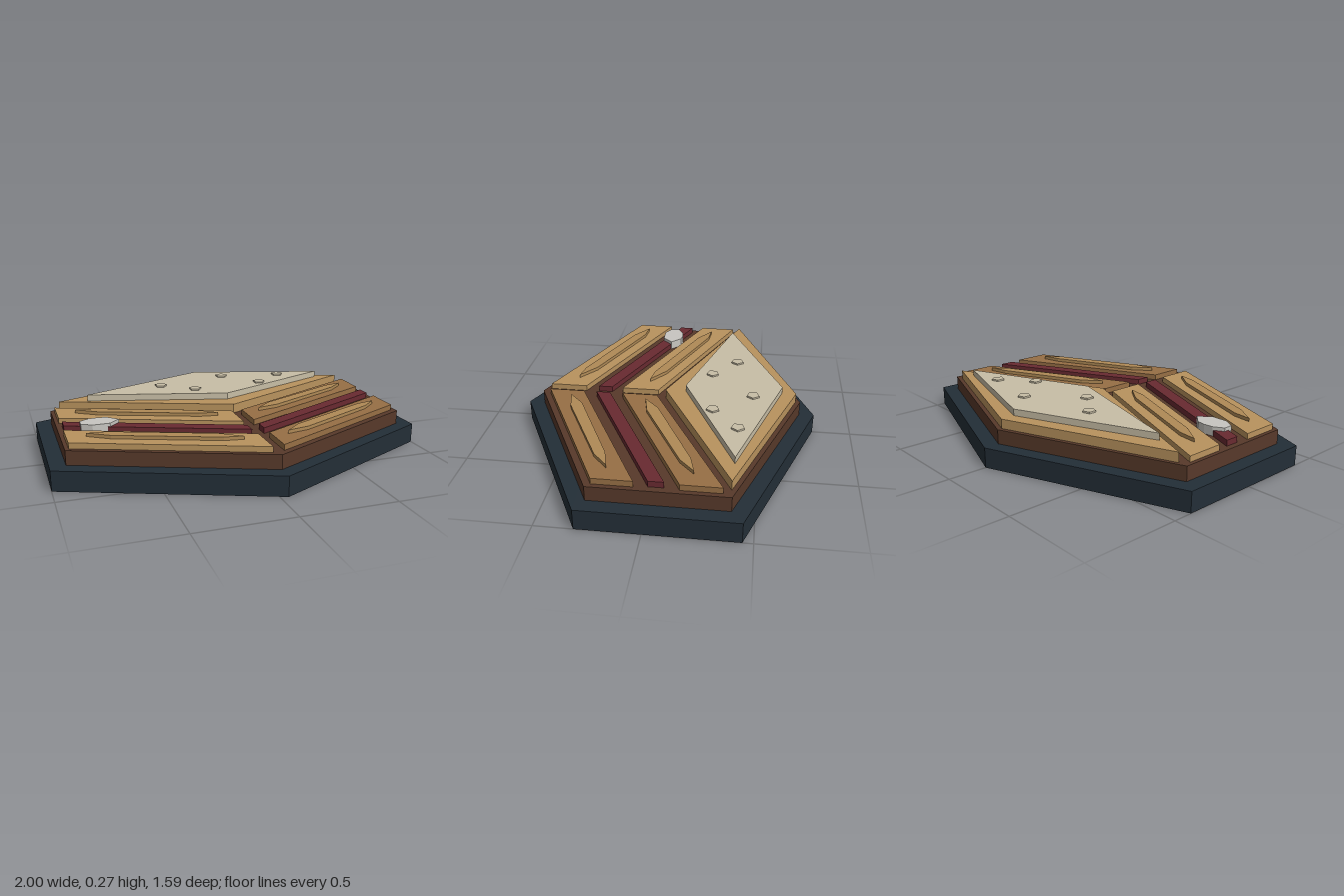
import * as THREE from 'three';

const paint = (name, color) => {
  const m = new THREE.MeshStandardMaterial({ color, side: THREE.DoubleSide });
  m.name = name;
  return m;
};

// Open-bottomed slab: a convex [x, z] outline with walls from y0 to y1 and a flat top
function slabGeometry(outline, y0, y1) {
  const area = THREE.ShapeUtils.area(outline.map(([x, z]) => new THREE.Vector2(x, -z)));
  const pts = area < 0 ? [...outline].reverse() : outline;
  const pos = [];
  const put = ([x, z], y) => pos.push(x, y, z);
  pts.forEach((a, i) => {
    const b = pts[(i + 1) % pts.length];
    put(a, y0); put(b, y0); put(b, y1);
    put(a, y0); put(b, y1); put(a, y1);
    if (i > 0 && i < pts.length - 1) { put(pts[0], y1); put(a, y1); put(b, y1); }
  });
  const g = new THREE.BufferGeometry();
  g.setAttribute('position', new THREE.Float32BufferAttribute(pos, 3));
  g.computeVertexNormals();
  return g;
}

export function createModel() {
  const group = new THREE.Group();
  const navy = paint('navy', 0x232e37);
  const brown = paint('dark brown', 0x57392a);
  const tan = paint('light wood', 0xb9935e);
  const oak = paint('shaded wood', 0x976f45);
  const grainTan = paint('wood grain', 0xb08a56);
  const red = paint('dark red', 0x692a30);
  const cream = paint('cream', 0xc8bea6);
  const silver = paint('pale grey', 0xc8c6c1);

  const slab = (name, material, outline, y0, y1) => {
    const mesh = new THREE.Mesh(slabGeometry(outline, y0, y1), material);
    mesh.name = name;
    group.add(mesh);
  };
  const shift = (outline, dz) => outline.map(([x, z]) => [x, z + dz]);

  // Stacked hexagonal bases
  slab('base', navy,
    [[-1, -0.4], [0, -0.795], [1, -0.45], [1, 0.31], [0.04, 0.79], [-1, 0.37]], 0, 0.105);
  slab('frame', brown,
    [[-0.92, -0.345], [0, -0.715], [0.92, -0.395], [0.92, 0.27], [0.04, 0.705], [-0.92, 0.32]], 0.06, 0.18);

  // Lid with cream inlay
  slab('lid', tan, [[-0.87, -0.345], [0, -0.69], [0.865, -0.39], [0.04, 0.015]], 0.17, 0.23);
  slab('lidInlay', cream, [[-0.715, -0.31], [0, -0.615], [0.725, -0.395], [0.04, -0.095]], 0.22, 0.265);

  // Pentagonal studs on the inlay
  for (const [x, z] of [[-0.28, -0.36], [-0.11, -0.23], [0.125, -0.46], [0.295, -0.26], [0.465, -0.395]]) {
    const stud = [];
    for (let i = 0; i < 5; i++) {
      const a = (i / 5) * Math.PI * 2;
      stud.push([x + 0.035 * Math.cos(a), z + 0.035 * Math.sin(a)]);
    }
    slab('stud', cream, stud, 0.26, 0.274);
  }

  // Upper and lower planks on both faces, each with a raised grain sliver
  const leftPlank = [[-0.9, -0.305], [0.01, 0.06], [0.01, 0.26], [-0.9, -0.105]];
  const rightPlank = [[0.07, 0.06], [0.895, -0.355], [0.895, -0.16], [0.07, 0.25]];
  const leftGrain = [[-0.805, -0.17], [-0.705, -0.16], [-0.195, 0.04],
    [-0.085, 0.12], [-0.185, 0.105], [-0.695, -0.095]];
  const rightGrain = [[0.15, 0.11], [0.24, 0.03], [0.7, -0.19],
    [0.805, -0.215], [0.72, -0.14], [0.27, 0.085]];
  for (const dz of [0, 0.405]) {
    slab('leftPlank', tan, shift(leftPlank, dz), 0.17, 0.21);
    slab('rightPlank', oak, shift(rightPlank, dz), 0.17, 0.21);
    slab('leftGrain', grainTan, shift(leftGrain, dz), 0.2, 0.228);
    slab('rightGrain', grainTan, shift(rightGrain, dz), 0.2, 0.228);
  }

  // Red bands between the planks
  slab('leftBand', red, [[-0.89, -0.04], [0.005, 0.32], [0.005, 0.395], [-0.89, 0.035]], 0.17, 0.21);
  slab('rightBand', red, [[0.07, 0.32], [0.885, -0.09], [0.885, -0.015], [0.07, 0.395]], 0.17, 0.21);

  // Pale clasp over the left band
  slab('clasp', silver, [[-0.81, 0.04], [-0.76, 0.01], [-0.71, 0.005], [-0.665, 0.012],
    [-0.61, 0.065], [-0.665, 0.12], [-0.755, 0.122], [-0.81, 0.09]], 0.18, 0.228);

  return group;
}
